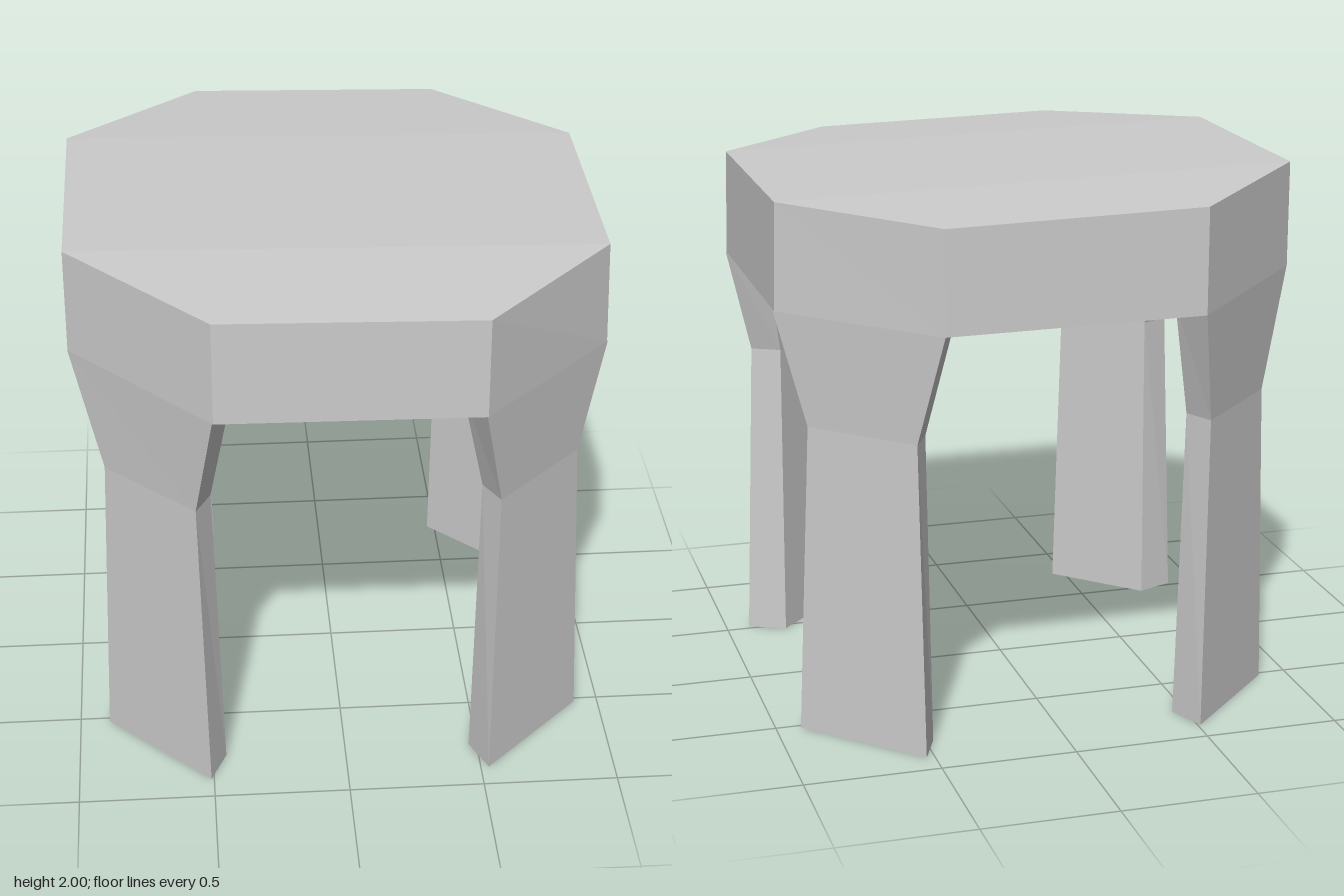
import * as THREE from 'three';

const material = new THREE.MeshStandardMaterial({ color: 0xcccccc, flatShading: true });

// Skin rings of [x, y, z] corners, bottom to top (clockwise from above), with both ends closed
function loft(name, rings) {
  const pos = [];
  const tri = (...corners) => corners.forEach((c) => pos.push(...c));
  const n = rings[0].length;
  for (let k = 0; k < rings.length - 1; k++) {
    const low = rings[k], high = rings[k + 1];
    for (let i = 0; i < n; i++) {
      const j = (i + 1) % n;
      tri(low[i], high[j], low[j]);
      tri(low[i], high[i], high[j]);
    }
  }
  // caps are strips running across from corner i to corner n-1-i
  const bottom = rings[0], top = rings[rings.length - 1];
  for (let i = 0; i < n / 2 - 1; i++) {
    const m = n - 1 - i;
    tri(bottom[i], bottom[m - 1], bottom[m]);
    tri(bottom[i], bottom[i + 1], bottom[m - 1]);
    tri(top[i], top[m], top[m - 1]);
    tri(top[i], top[m - 1], top[i + 1]);
  }
  const geometry = new THREE.BufferGeometry();
  geometry.setAttribute('position', new THREE.Float32BufferAttribute(pos, 3));
  geometry.computeVertexNormals();
  const mesh = new THREE.Mesh(geometry, material);
  mesh.name = name;
  return mesh;
}

// Octagon that is slightly uneven: its left, front/back and right corners differ in height
function octagon(xLeft, xRight, yLeft, yNearLeft, yNearRight, yRight) {
  const half = [
    [-0.47, yNearLeft, 0.975], [xLeft, yLeft, 0.475],
    [xRight, yRight, 0.475], [0.47, yNearRight, 0.975],
  ];
  const back = ([x, y, z]) => [x, y, -z];
  const [fl, l, r, fr] = half;
  return [fl, l, back(l), back(fl), back(fr), back(r), r, fr];
}

// Diagonal leg: every level has a wide outer edge and a narrower inner edge
function leg(name, sx, sz) {
  const yNear = sx > 0 ? 1.57 : 1.58;
  const ySide = sx > 0 ? 1.572 : 1.61;
  // outer near, outer far, inner near, inner far, sideways shift, heights at the two corners
  const levels = [
    [0.52, 0.9, 0.46, 0.76, 0.01, 0, 0],
    [0.54, 0.86, 0.485, 0.755, 0.003, 1.16, 1.16],
    [0.47, 0.967, 0.4, 0.83, -0.003, yNear, ySide],
  ];
  const rings = levels.map(([a, b, c, d, shift, y1, y2], k) => {
    const lift = k === 2 ? 0.02 : 0; // inner edge is sunk into the seat
    const ring = [[a, y1, b], [c, y1 + lift, d], [d, y2 + lift, c], [b, y2, a]]
      .map(([x, y, z]) => [x * sx + shift, y, z * sz]);
    return sx * sz > 0 ? ring : ring.reverse();
  });
  return loft(name, rings);
}

export function createModel() {
  const model = new THREE.Group();
  model.name = 'stool';

  // Thick octagonal seat
  model.add(loft('seat', [
    octagon(-0.968, 0.96, 1.61, 1.58, 1.57, 1.572),
    octagon(-0.968, 0.95, 2.0, 1.965, 1.945, 1.962),
  ]));

  // Four flared legs under the diagonal sides
  for (const [xName, sx] of [['Left', 1], ['Right', -1]]) {
    for (const [zName, sz] of [['front', 1], ['back', -1]]) {
      model.add(leg(`${zName}${xName}Leg`, sx, sz));
    }
  }
  return model;
}
